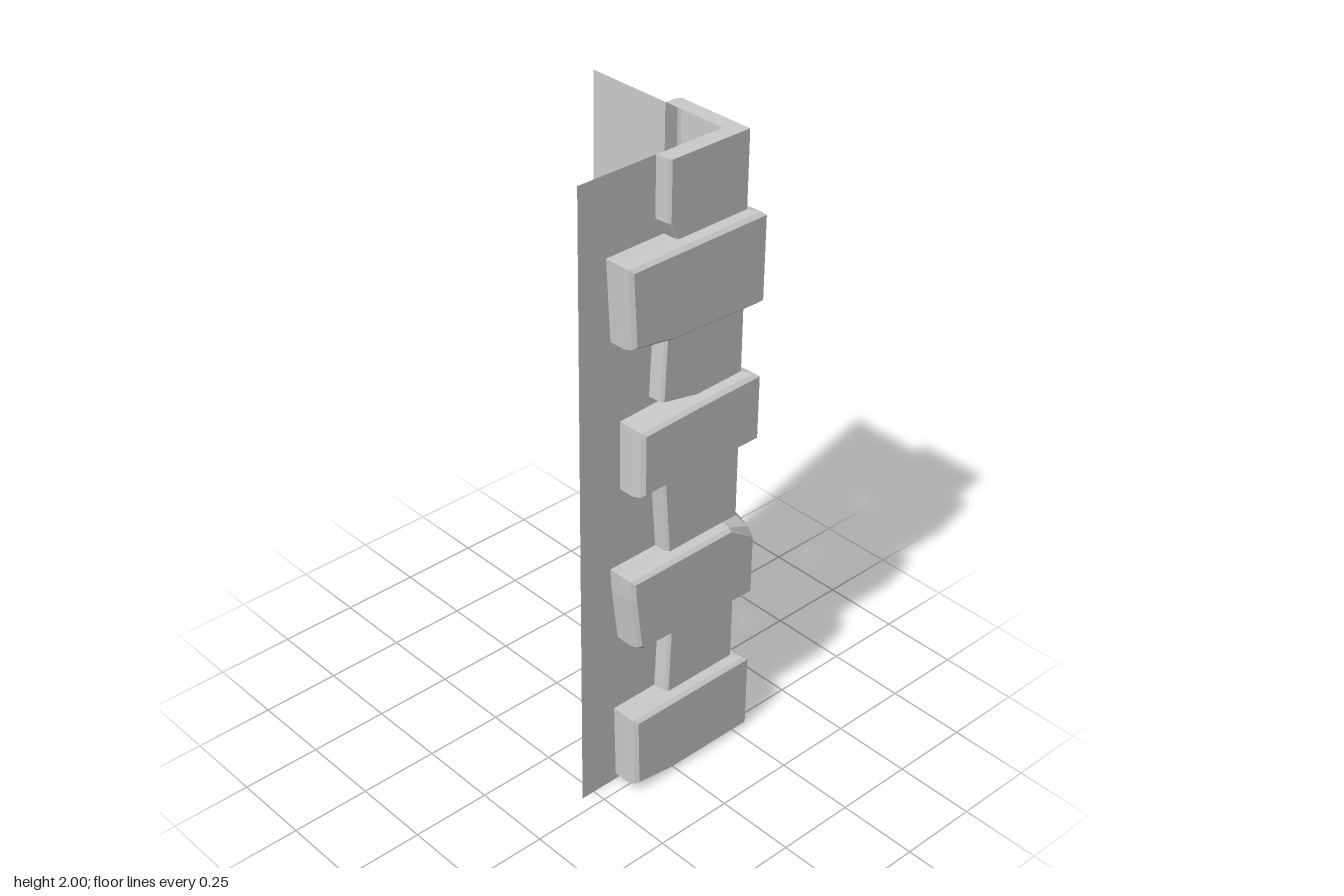
import * as THREE from 'three';

// Outlines are drawn unfolded: u = distance from the inner corner (front arm negative,
// side arm positive), y = height, and d = how far the surface stands off the wall.
const C = 0.205;
const fold = (u, y, d) =>
  u < 0 ? [C + u, y, C + d] : u > 0 ? [C + d, y, C - u] : [C + d, y, C + d];

// Large stones, bottom to top; both edges run from the front end to the side end
const STONES = [
  { top: [[-.375, .275], [0, .275], [.405, .275]],
    bottom: [[-.368, .02], [-.225, 0], [0, 0], [.35, 0], [.39, .06]] },
  { top: [[-.39, .782], [-.002, .786], [0, .786], [.002, .786], [.36, .792]], chip: 0.06,
    bottom: [[-.385, .71], [-.362, .53], [-.34, .515], [0, .5], [.315, .505], [.33, .53], [.362, .7]] },
  { top: [[-.355, 1.255], [0, 1.27], [.355, 1.248]],
    bottom: [[-.355, 1.037], [0, 1.037], [.21, 1.025], [.335, 1.04], [.35, 1.09]] },
  { top: [[-.405, 1.765], [0, 1.768], [.35, 1.745], [.385, 1.68]],
    bottom: [[-.39, 1.515], [-.235, 1.49], [0, 1.48], [.395, 1.49]] },
];

// Recessed stones, each sitting above the large stone of the same index
const FILLERS = [
  { left: [[-.215, 0], [-.205, 0]], right: [[.21, 0], [.21, 0]] },
  { left: [[-.22, 0], [-.24, 0]], right: [[.165, 0], [.212, .85], [.22, 0]] },
  { left: [[-.125, 0], [-.25, 1.29], [-.24, 0]], right: [[.22, 0], [.22, 0]] },
  { left: [[-.205, 0], [-.235, 1.82], [-.235, 0]], right: [[.125, 0], [.215, 1.78], [.215, 0]] },
];

const heightAt = (edge, u) => {
  for (let i = 1; i < edge.length; i++) {
    const [a, b] = [edge[i - 1], edge[i]];
    if (u >= a[0] && u <= b[0]) return a[1] + (b[1] - a[1]) * (u - a[0]) / (b[0] - a[0]);
  }
  return edge[0][1];
};

// Add the two filler corners to a stone edge and mark the open stretch between them
function openEdge(edge, uL, uR, mark) {
  const cuts = [uL, uR].map(u => [u, heightAt(edge, u)]);
  const mid = edge.filter(p => p[0] > uL && p[0] < uR);
  return [...edge.filter(p => p[0] <= uL), ...[cuts[0], ...mid, cuts[1]].map(p => [p[0], p[1], mark]),
    ...edge.filter(p => p[0] >= uR)];
}

// Move a clockwise outline inward by t, keeping corner points on the corner
function inset(loop, t) {
  const n = loop.length;
  return loop.map((p, i) => {
    const normal = (a, b) => new THREE.Vector2(b[1] - a[1], a[0] - b[0]).normalize();
    const n1 = normal(loop[(i + n - 1) % n], p), n2 = normal(p, loop[(i + 1) % n]);
    const k = t / Math.max(0.5, 1 + n1.dot(n2));
    const u = p[0] + (n1.x + n2.x) * k;
    const held = p[0] === 0 ? 0 : p[0] < 0 ? Math.min(u, -0.001) : Math.max(u, 0.001);
    return [held, p[1] + (n1.y + n2.y) * k];
  });
}

function surface(name, positions, material) {
  const g = new THREE.BufferGeometry();
  g.setAttribute('position', new THREE.Float32BufferAttribute(positions, 3));
  g.computeVertexNormals();
  const mesh = new THREE.Mesh(g, material);
  mesh.name = name;
  return mesh;
}

// Triangulate a flat face lying on one arm
function fillFace(out, points, side) {
  let flat = points.map(p => new THREE.Vector2(side < 0 ? p[0] : -p[2], p[1]));
  if (THREE.ShapeUtils.isClockWise(flat)) {
    flat = flat.reverse();
    points = [...points].reverse();
  }
  for (const f of THREE.ShapeUtils.triangulateShape(flat, [])) for (const i of f) out.push(...points[i]);
}

// Hollow shell: side rings from the wall outward, then a folded cap
function shell(name, loop, rings, isOpen, material) {
  const out = [], n = loop.length;
  for (let k = 0; k + 1 < rings.length; k++) {
    for (let i = 0; i < n; i++) {
      const j = (i + 1) % n;
      if (isOpen(loop[i], loop[j], k)) continue;
      const [a, b, c, d] = [rings[k][i], rings[k][j], rings[k + 1][j], rings[k + 1][i]];
      out.push(...a, ...d, ...c, ...a, ...c, ...b);
    }
  }
  const cap = rings[rings.length - 1];
  for (const side of [-1, 1]) fillFace(out, cap.filter((p, i) => loop[i][0] * side >= 0), side);
  return surface(name, out, material);
}

export function createModel() {
  const model = new THREE.Group();
  model.name = 'stoneCorner';
  const material = new THREE.MeshStandardMaterial({ color: 0xcccccc, side: THREE.DoubleSide, flatShading: true });

  // Fit the fillers and stones to each other
  const fillers = FILLERS.map(({ left, right }, i) => {
    const fit = pts => pts.map(([u, y], k) => [u,
      k === 0 ? heightAt(STONES[i].top, u)
        : k === pts.length - 1 ? (i < 3 ? heightAt(STONES[i + 1].bottom, u) : 2) : y]);
    return { left: fit(left), right: fit(right) };
  });
  const stones = STONES.map((s, i) => {
    const above = fillers[i], below = fillers[i - 1];
    return {
      chip: s.chip || 0,
      top: openEdge(s.top, above.left[0][0], above.right[0][0], 't'),
      bottom: below ? openEdge(s.bottom, below.left.at(-1)[0], below.right.at(-1)[0], 'b') : s.bottom,
    };
  });

  // Large bevelled stones wrapped round the corner
  stones.forEach((s, i) => {
    const loop = [...s.top, ...[...s.bottom].reverse()];
    const rings = [[0, 0], [.05, 0], [.076, .006], [.087, .016]].map(([d, t], k) =>
      inset(loop, t).map(([u, y], j) =>
        fold(u, k > 1 && loop[j][0] === 0 && j < s.top.length ? y - s.chip * (k - 1) / 2 : y, d)));
    model.add(shell('largeStone' + (i + 1), loop, rings,
      (a, b, k) => k === 0 && a[2] && a[2] === b[2], material));
  });

  // Recessed stones between them; only the topmost has a closed top
  fillers.forEach((f, i) => {
    const top = [0, i < 3 ? heightAt(STONES[i + 1].bottom, 0) : 2];
    const bottom = [0, heightAt(STONES[i].top, 0)];
    const loop = [...f.left, top, ...[...f.right].reverse(), bottom];
    const rings = [[0, 0], [.042, .003], [.05, .01]].map(([d, t]) =>
      loop.map(([u, y]) => fold(u - Math.sign(u) * t, y, d)));
    const isOpen = (a, b) => a === bottom || b === bottom || (i < 3 && (a === top || b === top));
    model.add(shell('recessedStone' + (i + 1), loop, rings, isOpen, material));
  });

  // Thin wall sheets, cut to the outline of the stones
  for (const side of [-1, 1]) {
    const path = [[side * .5, 0], [side * .5, 2]];
    const beyond = (edge, limit) => edge.filter(p => p[0] * side > limit + 1e-6);
    for (let i = 3; i >= 0; i--) {
      const edgeOf = f => side < 0 ? f.left : f.right;
      path.push(...[...edgeOf(fillers[i])].reverse());
      const top = beyond(stones[i].top, Math.abs(edgeOf(fillers[i])[0][0]));
      const bottom = beyond(stones[i].bottom, i ? Math.abs(edgeOf(fillers[i - 1]).at(-1)[0]) : .2);
      path.push(...(side < 0 ? top.reverse() : top), ...(side < 0 ? bottom : bottom.reverse()));
    }
    const out = [];
    fillFace(out, path.map(([u, y]) => fold(u, y, 0)), side);
    model.add(surface(side < 0 ? 'frontWall' : 'sideWall', out, material));
  }
  return model;
}
